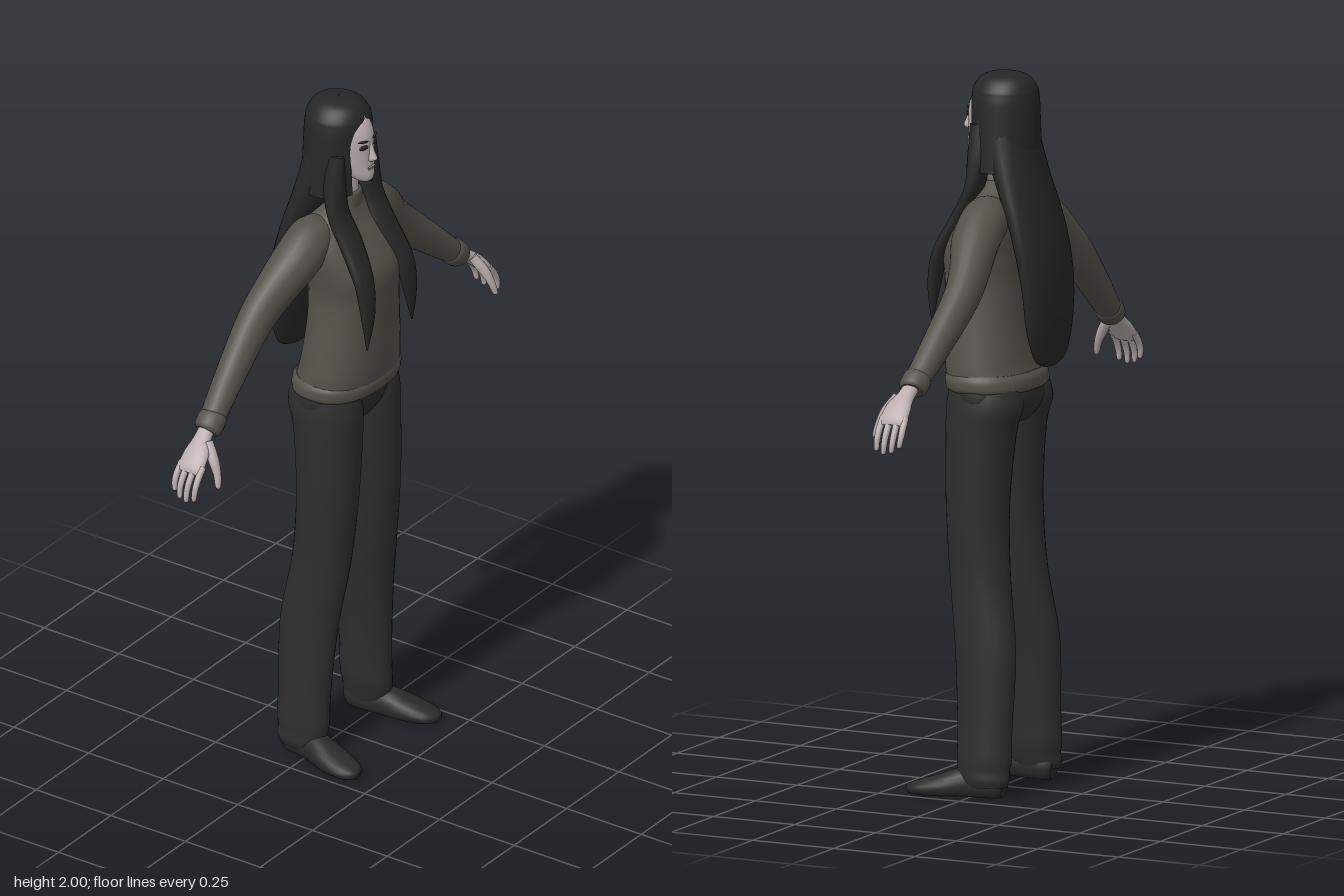
import * as THREE from 'three';

const mat = (name, color) => {
  const m = new THREE.MeshStandardMaterial({ color });
  m.name = name;
  return m;
};

// Catmull-Rom subdivision of cross-sections
function refine(sec, k) {
  const out = [], at = i => sec[Math.max(0, Math.min(sec.length - 1, i))];
  for (let i = 0; i < sec.length - 1; i++) {
    for (let q = 0; q < k; q++) {
      const t = q / k, [a, b, c, d] = [at(i - 1), at(i), at(i + 1), at(i + 2)];
      out.push(b.map((_, n) => b[n] + 0.5 * t * (c[n] - a[n] + t * (2 * a[n] - 5 * b[n] + 4 * c[n] - d[n]
        + t * (3 * (b[n] - c[n]) + d[n] - a[n])))));
    }
  }
  out.push(sec[sec.length - 1]);
  return out;
}

// Skin over sections [x, y, z, sideRadius, frontRadius, frontOpening?].
// flat keeps rings horizontal, otherwise they follow the path.
function loft(sections, { n = 24, k = 4, flat = false, power = 2, ref = [0, 0, 1], floor = false } = {}) {
  const rows = refine(sections, k), open = sections[0].length > 5, cols = open ? n + 1 : n;
  const pos = [], idx = [], rings = [];
  const P = rows.map(r => new THREE.Vector3(r[0], r[1], r[2]));
  rows.forEach((r, i) => {
    const T = flat ? new THREE.Vector3(0, 1, 0)
      : P[Math.min(i + 1, P.length - 1)].clone().sub(P[Math.max(i - 1, 0)]).normalize();
    const F = new THREE.Vector3(...ref);
    F.addScaledVector(T, -F.dot(T)).normalize();
    const S = T.clone().cross(F);
    const a = Math.max(r[3], 0.001), b = Math.max(r[4], 0.001);
    const t0 = open ? Math.asin(Math.max(0, Math.min(0.95, r[5] / a))) : 0;
    const ring = [];
    for (let j = 0; j < cols; j++) {
      const th = t0 + (2 * Math.PI - 2 * t0) * j / n;
      const e = v => Math.sign(v) * Math.pow(Math.abs(v), 2 / power);
      const p = P[i].clone().addScaledVector(S, a * e(Math.sin(th))).addScaledVector(F, b * e(Math.cos(th)));
      if (floor) p.y = Math.max(0, p.y);
      ring.push(p);
      pos.push(p.x, p.y, p.z);
    }
    rings.push(ring);
  });
  for (let i = 0; i < rows.length - 1; i++) {
    for (let j = 0; j < n; j++) {
      const a = i * cols + j, b = i * cols + (j + 1) % cols;
      idx.push(a, b, b + cols, a, b + cols, a + cols);
    }
  }
  // end caps with their own vertices, so the rims stay sharp
  if (!open) {
    [0, rows.length - 1].forEach((i, end) => {
      const c = pos.length / 3;
      pos.push(P[i].x, floor ? Math.max(0, P[i].y) : P[i].y, P[i].z);
      rings[i].forEach(p => pos.push(p.x, p.y, p.z));
      for (let j = 0; j < n; j++) {
        const a = c + 1 + j, b = c + 1 + (j + 1) % n;
        if (end) idx.push(c, a, b); else idx.push(c, b, a);
      }
    });
  }
  const g = new THREE.BufferGeometry();
  g.setAttribute('position', new THREE.Float32BufferAttribute(pos, 3));
  g.setIndex(idx);
  g.computeVertexNormals();
  return g;
}

export function createModel() {
  const model = new THREE.Group();
  const skin = mat('skin', 0xb9acac), wool = mat('sweater wool', 0x55514a), cloth = mat('trouser cloth', 0x2d2d2e);
  const hair = mat('hair', 0x262626), shoe = mat('shoe leather', 0x2a2a2a), dark = mat('eye dark', 0x2b2426);
  const lip = mat('lip', 0x8c7676);
  hair.side = THREE.DoubleSide;
  const add = (name, geo, material) => {
    const m = new THREE.Mesh(geo, material);
    m.name = name;
    model.add(m);
    return m;
  };
  const flat = { flat: true, n: 32 };

  // sweater body, ribbed hem and collar
  add('sweaterBody', loft([
    [0, 1.14, .012, .168, .12], [0, 1.2, .025, .163, .115], [0, 1.32, .035, .145, .11],
    [0, 1.42, .037, .135, .112], [0, 1.5, .033, .146, .118], [0, 1.58, .006, .157, .1],
    [0, 1.64, -.008, .13, .075], [0, 1.68, .002, .075, .05], [0, 1.7, .012, .046, .04]
  ], { ...flat, power: 2.3 }), wool);
  add('sweaterHem', loft([
    [0, 1.12, .01, .166, .117], [0, 1.13, .011, .175, .124], [0, 1.155, .014, .175, .124], [0, 1.17, .016, .165, .116]
  ], { ...flat, power: 2.3 }), wool);
  add('collar', loft([
    [0, 1.675, .01, .052, .045], [0, 1.69, .012, .05, .044], [0, 1.712, .014, .044, .041], [0, 1.718, .014, .038, .036]
  ], flat), wool);

  // trouser seat
  add('trouserSeat', loft([
    [0, 1.03, .005, .09, .08], [0, 1.06, .003, .15, .1], [0, 1.1, .003, .174, .112], [0, 1.16, .01, .165, .113]
  ], flat), cloth);

  // neck and head
  add('neck', loft([[0, 1.66, .008, .036, .036], [0, 1.73, .012, .034, .034], [0, 1.82, .012, .038, .038]], flat), skin);
  add('head', loft([
    [0, 1.762, .07, .014, .018], [0, 1.772, .06, .027, .038], [0, 1.79, .043, .041, .057], [0, 1.815, .027, .053, .07],
    [0, 1.85, .012, .063, .084], [0, 1.9, .005, .068, .088], [0, 1.935, 0, .064, .076], [0, 1.965, -.01, .05, .052]
  ], flat), skin);
  add('nose', loft([
    [0, 1.829, .09, .009, .012], [0, 1.838, .096, .012, .019], [0, 1.855, .095, .008, .014], [0, 1.89, .087, .006, .008]
  ], { flat: true, n: 12 }), skin);
  const blob = (name, x, y, z, w, h, turn, material, d = .004, roll = 0) => {
    const m = add(name, new THREE.SphereGeometry(1, 16, 10), material);
    m.scale.set(w, h, d);
    m.position.set(x, y, z);
    m.rotation.set(0, turn, roll);
  };
  blob('upperLip', 0, 1.811, .097, .017, .0035, 0, lip);
  blob('lowerLip', 0, 1.804, .096, .014, .0035, 0, lip);

  // hair: cap open around the face, and the long fall down the back
  add('hairCap', loft([
    [0, 1.73, -.018, .113, .09, .045], [0, 1.8, -.017, .106, .093, .05], [0, 1.87, -.015, .1, .094, .055],
    [0, 1.915, -.014, .096, .094, .047], [0, 1.94, -.014, .091, .092, .028], [0, 1.955, -.014, .086, .089, .003],
    [0, 1.98, -.014, .067, .074, 0], [0, 1.994, -.014, .042, .048, 0], [0, 2, -.014, .001, .001, 0]
  ], { ...flat, n: 40 }), hair);
  add('hairBack', loft([
    [0, 1.19, -.15, .035, .012], [0, 1.215, -.152, .085, .023], [0, 1.3, -.149, .122, .035], [0, 1.4, -.145, .134, .041],
    [0, 1.5, -.13, .138, .046], [0, 1.6, -.104, .134, .051], [0, 1.7, -.068, .122, .06], [0, 1.8, -.037, .106, .07],
    [0, 1.9, -.02, .088, .07]
  ], flat), hair);

  for (const [side, s] of [['left', 1], ['right', -1]]) {
    const flip = rows => rows.map(([x, ...rest]) => [s * x, ...rest]);
    const part = (name, rows, opts, material) =>
      add(side + name, loft(flip(rows), opts), material);

    // eyes and brows
    blob(side + 'Eye', s * .026, 1.877, .089, .015, .007, s * .38, dark);
    blob(side + 'Brow', s * .027, 1.895, .088, .018, .003, s * .38, dark, .004, s * .1);

    // front lock of hair
    part('HairLock', [
      [.107, 1.3, .157, .002, .002], [.1, 1.4, .155, .025, .016], [.093, 1.5, .137, .036, .022],
      [.079, 1.6, .083, .042, .026], [.08, 1.68, .042, .041, .025], [.079, 1.77, .028, .032, .032],
      [.076, 1.86, .028, .016, .028]
    ], { flat: true, n: 16 }, hair);

    // sleeve and cuff
    part('Sleeve', [
      [.07, 1.625, -.015, .04, .045], [.125, 1.605, -.017, .068, .064], [.2, 1.558, -.024, .066, .066],
      [.27, 1.495, -.043, .062, .056], [.345, 1.428, -.055, .056, .049], [.47, 1.323, -.047, .045, .042],
      [.575, 1.234, -.036, .034, .036]
    ], {}, wool);
    part('Cuff', [
      [.562, 1.246, -.037, .033, .036], [.57, 1.239, -.036, .038, .041], [.594, 1.219, -.034, .037, .04],
      [.602, 1.212, -.034, .029, .032]
    ], {}, wool);

    // hand with four fingers and a thumb
    part('Palm', [
      [.59, 1.228, -.034, .02, .023], [.628, 1.2, -.03, .018, .026], [.66, 1.174, -.025, .018, .038],
      [.69, 1.143, -.024, .015, .041], [.7, 1.13, -.024, .009, .036]
    ], { n: 16 }, skin);
    [[-.057, .8], [-.036, .95], [-.013, 1], [.01, .92]].forEach(([z, l], i) => part('Finger' + (i + 1), [
      [.683, 1.15, z, .01, .01], [.683 + .027 * l, 1.15 - .035 * l, z * 1.05, .0095, .0095],
      [.683 + .041 * l, 1.15 - .065 * l, z * 1.05, .0085, .0085], [.683 + .045 * l, 1.15 - .09 * l, z, .007, .007],
      [.683 + .046 * l, 1.15 - .096 * l, z, .002, .002]
    ], { n: 10, k: 3 }, skin));
    part('Thumb', [
      [.63, 1.2, -.008, .014, .014], [.645, 1.16, .02, .015, .015], [.653, 1.125, .038, .011, .011],
      [.661, 1.092, .047, .008, .008], [.662, 1.085, .048, .002, .002]
    ], { n: 10, k: 3 }, skin);

    // trouser leg with gathered bottom
    part('TrouserLeg', [
      [.157, .03, -.028, .041, .068], [.157, .05, -.027, .047, .076], [.153, .075, -.025, .049, .077],
      [.15, .11, -.026, .052, .081], [.145, .2, -.025, .051, .081], [.131, .4, -.02, .056, .09],
      [.11, .6, .007, .067, .088], [.1, .8, .02, .08, .09], [.09, 1, .015, .088, .1],
      [.088, 1.08, .004, .087, .111], [.085, 1.14, .006, .078, .1]
    ], { flat: true, n: 28 }, cloth);

    // shoe, flat on the ground
    part('Shoe', [
      [.148, .03, -.087, .022, .03], [.15, .033, -.06, .038, .045], [.16, .033, .02, .041, .048],
      [.178, .022, .09, .049, .036], [.19, .015, .15, .043, .024], [.195, .012, .178, .026, .016],
      [.196, .01, .188, .008, .009]
    ], { n: 20, ref: [0, 1, 0], floor: true }, shoe);
  }
  return model;
}
